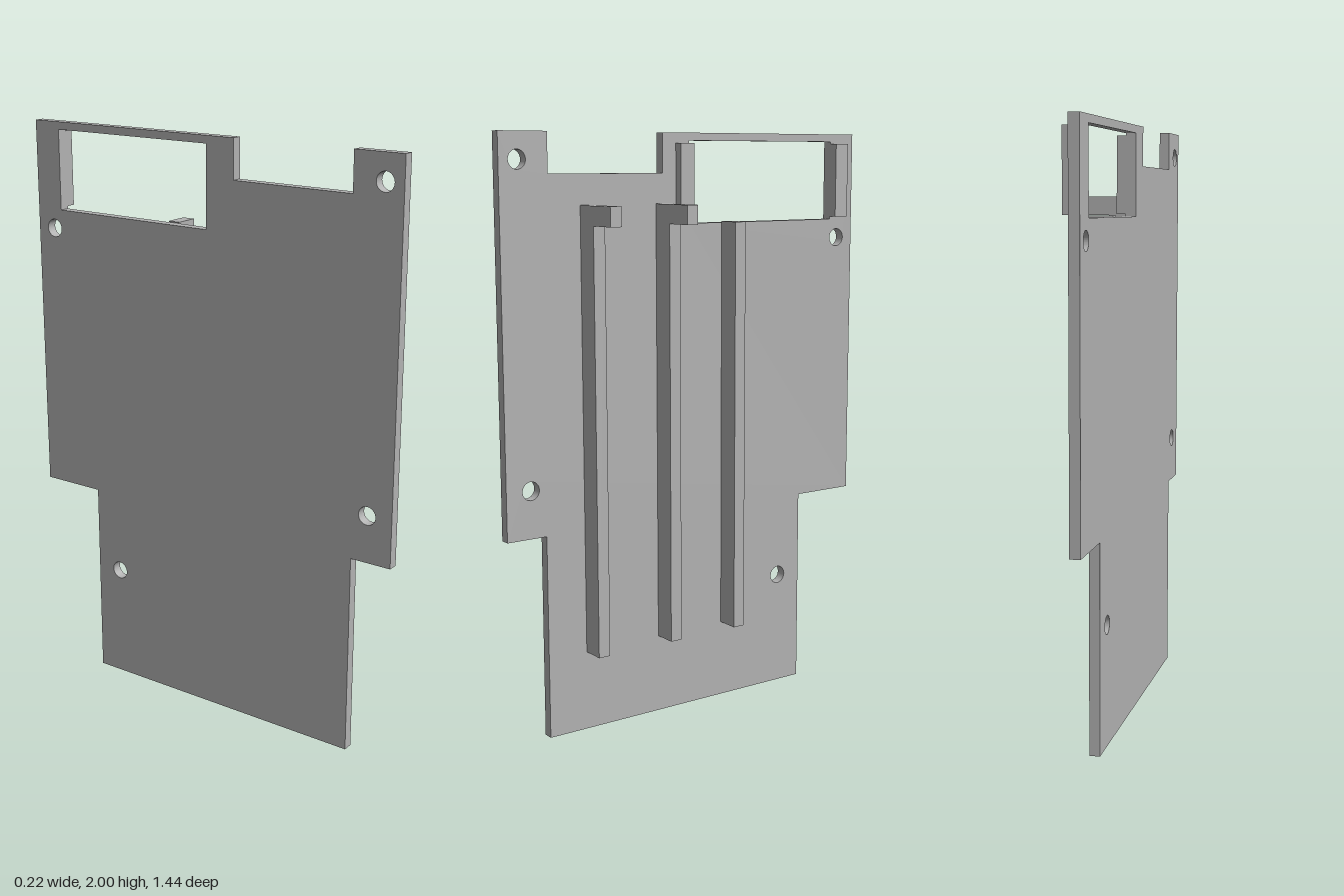
import * as THREE from 'three';

export function createModel() {
  const model = new THREE.Group();
  model.name = 'mountingPlate';
  const grey = new THREE.MeshStandardMaterial({ color: 0xb2b2b2 });
  grey.name = 'plain grey';

  const BACK = -0.108, FACE = -0.073; // plate thickness along x

  function add(name, geometry) {
    const mesh = new THREE.Mesh(geometry, grey);
    mesh.name = name;
    model.add(mesh);
    return mesh;
  }

  // Extrudes a (z, y) outline along x
  function extrudeAlongX(shape, x0, x1) {
    const g = new THREE.ExtrudeGeometry(shape, { depth: x1 - x0, bevelEnabled: false, curveSegments: 24 });
    return g.rotateY(-Math.PI / 2).translate(x1, 0, 0);
  }

  const points = (list) => list.map(([a, b]) => new THREE.Vector2(a, b));

  // Stepped plate with a notch in the top edge
  const outline = new THREE.Shape(points([
    [0.575, 0], [0.575, 0.697], [0.72, 0.697], [0.72, 2], [0.546, 2], [0.546, 1.868],
    [0.11, 1.868], [0.11, 2], [-0.72, 2], [-0.72, 0.697], [-0.488, 0.697], [-0.488, 0],
  ]));

  // Window opening
  outline.holes.push(new THREE.Path(points([
    [0.003, 1.7], [0.003, 1.974], [-0.618, 1.974], [-0.618, 1.7],
  ])));

  // Screw holes
  for (const [z, y] of [[0.655, 1.913], [-0.65, 1.634], [0.63, 0.857], [-0.392, 0.406]]) {
    const hole = new THREE.Path();
    hole.absarc(z, y, 0.031, 0, Math.PI * 2, true);
    outline.holes.push(hole);
  }
  add('plate', extrudeAlongX(outline, BACK, FACE));

  // Two long ribs ending in a hook, each one L-shaped profile in (x, y)
  const hookProfile = new THREE.Shape(points([
    [FACE, 0.273], [0.007, 0.273], [0.007, 1.704], [0.108, 1.704], [0.108, 1.768], [FACE, 1.768],
  ]));
  for (const z of [0.408, 0.116]) {
    const g = new THREE.ExtrudeGeometry(hookProfile, { depth: 0.043, bevelEnabled: false });
    add('hookedRib', g.translate(0, 0, z - 0.0215));
  }

  // Box reaching out from the plate face
  function block(name, x1, y0, y1, z0, z1) {
    const mesh = add(name, new THREE.BoxGeometry(x1 - FACE, y1 - y0, z1 - z0));
    mesh.position.set((FACE + x1) / 2, (y0 + y1) / 2, (z0 + z1) / 2);
  }
  block('straightRib', 0.007, 0.273, 1.704, -0.176, -0.133);

  // Pads on both sides of the window
  block('windowPad', -0.042, 1.709, 1.966, 0.003, 0.057);
  block('windowPad', -0.042, 1.709, 1.966, -0.673, -0.618);

  return model;
}
